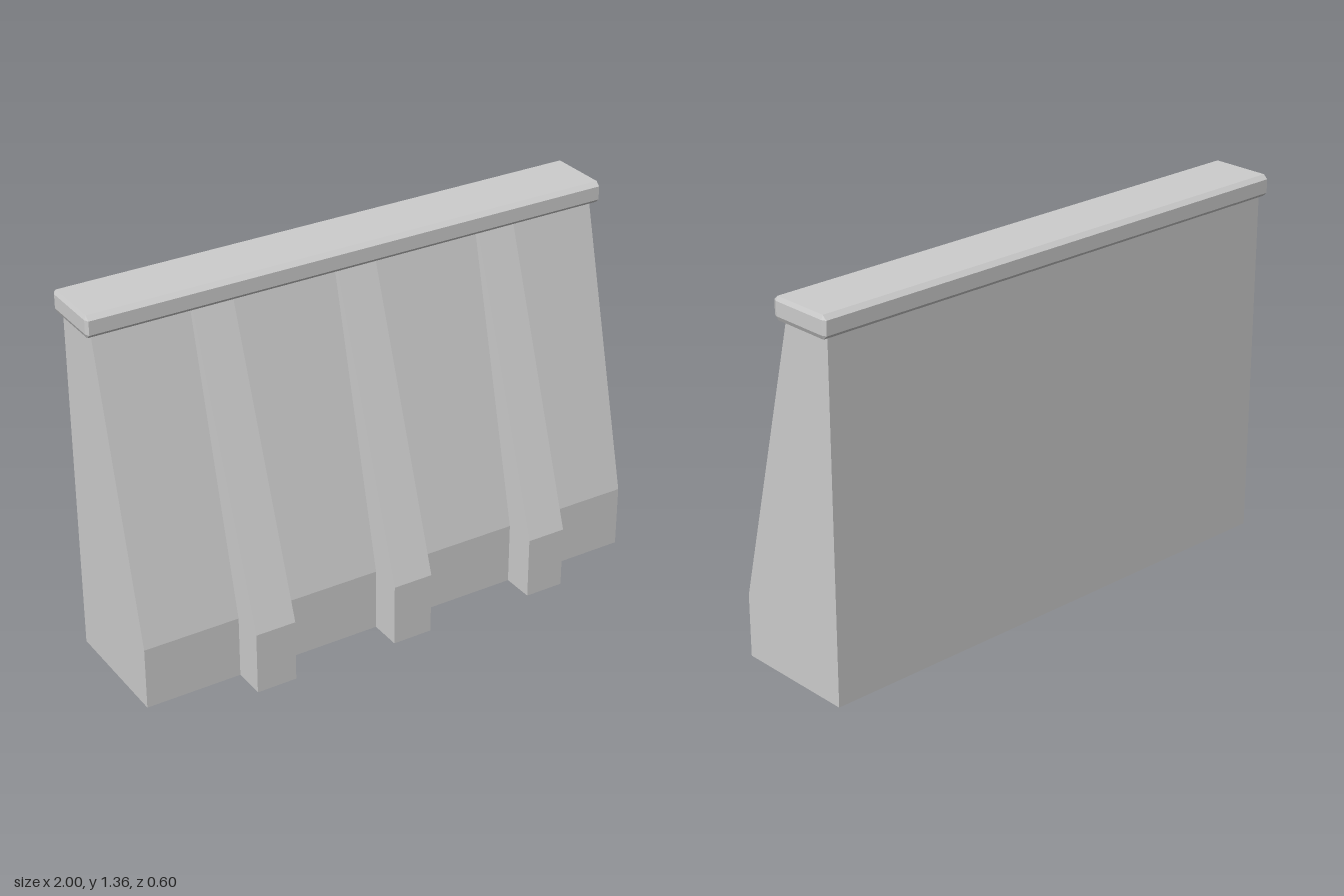
import * as THREE from 'three';
import { ConvexGeometry } from 'three/addons/geometries/ConvexGeometry.js';

const TOP = 1.28, PLINTH = 0.23;

// Hollow battered body, open at the bottom and under the coping
function shell(x0, x1, zFoot, zTop, zBack) {
  const p = [[0, zFoot], [PLINTH, zFoot], [TOP, zTop], [TOP, zBack], [0, zBack]];
  const pos = [];
  const tri = (...corners) => corners.forEach(([x, [y, z]]) => pos.push(x, y, z));
  // front foot, front slope and back
  for (const i of [0, 1, 3]) {
    const a = p[i], b = p[i + 1];
    tri([x0, a], [x1, a], [x1, b]);
    tri([x0, a], [x1, b], [x0, b]);
  }
  // ends
  for (let i = 1; i < p.length - 1; i++) {
    tri([x0, p[0]], [x0, p[i]], [x0, p[i + 1]]);
    tri([x1, p[0]], [x1, p[i + 1]], [x1, p[i]]);
  }
  const g = new THREE.BufferGeometry();
  g.setAttribute('position', new THREE.Float32BufferAttribute(pos, 3));
  g.computeVertexNormals();
  return g;
}

// Box with chamfered edges, half sizes h and bevels b per axis
function chamferBox(h, b) {
  const pts = [];
  for (let axis = 0; axis < 3; axis++)
    for (const sx of [-1, 1]) for (const sy of [-1, 1]) for (const sz of [-1, 1]) {
      const c = [sx, sy, sz].map((s, k) => s * (h[k] - (k === axis ? 0 : b[k])));
      pts.push(new THREE.Vector3(...c));
    }
  return new ConvexGeometry(pts);
}

export function createModel() {
  const group = new THREE.Group();
  const concrete = new THREE.MeshStandardMaterial({ color: 0xcccccc });
  concrete.name = 'concrete grey';
  concrete.side = THREE.DoubleSide;

  const add = (name, geometry) => {
    const mesh = new THREE.Mesh(geometry, concrete);
    mesh.name = name;
    group.add(mesh);
    return mesh;
  };

  // Main wall
  add('wall', shell(-0.975, 0.975, 0.18, -0.08, -0.28));

  // Three buttresses reaching into the wall
  [[-0.62, -0.47], [-0.075, 0.075], [0.49, 0.637]].forEach(([x0, x1], i) =>
    add('buttress' + (i + 1), shell(x0, x1, 0.3, -0.063, -0.21)));

  // Coping along the top
  add('coping', chamferBox([1, 0.04, 0.125], [0.007, 0.015, 0.016]))
    .position.set(0, 1.32, -0.175);

  return group;
}
